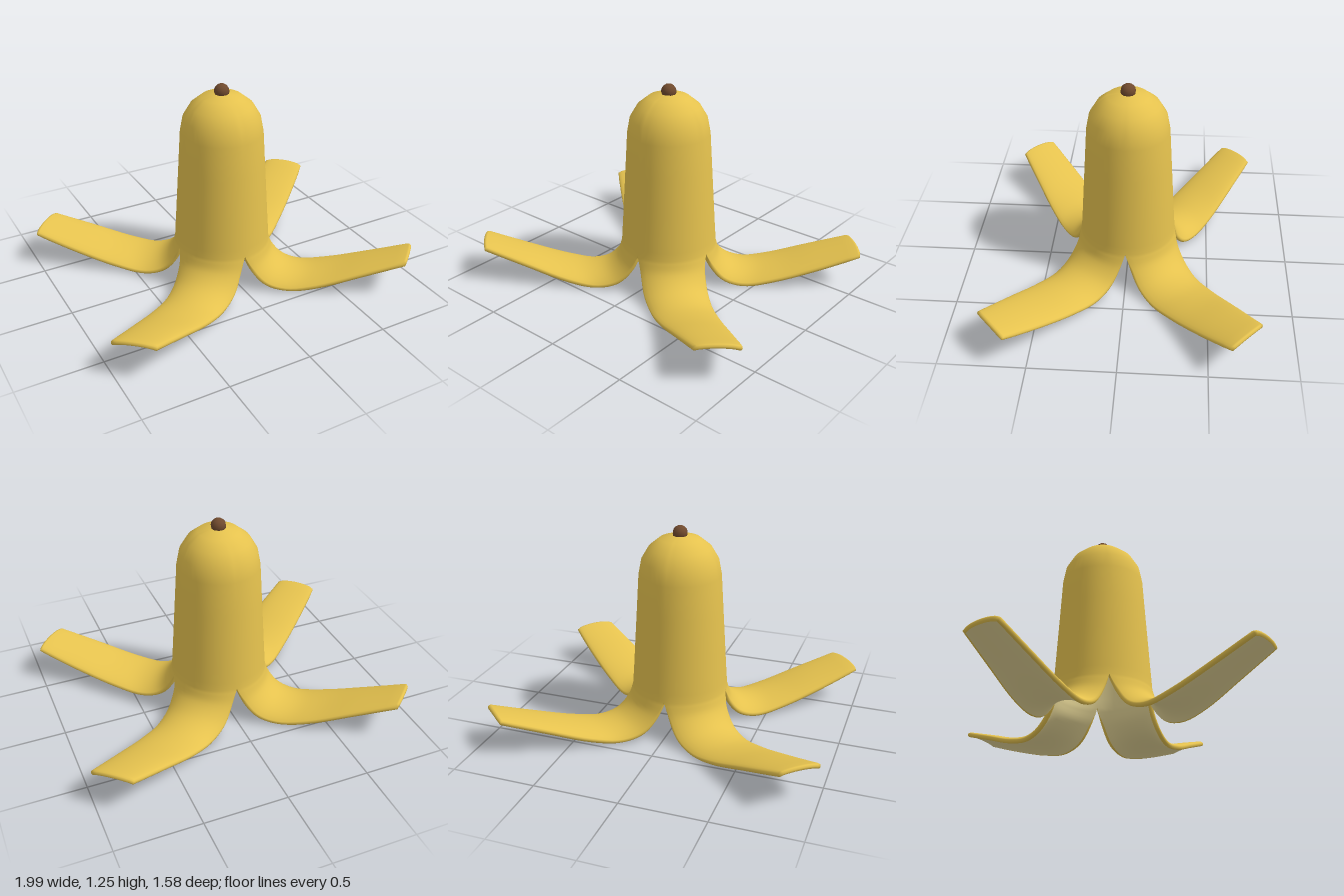
import * as THREE from 'three';
import { mergeGeometries, mergeVertices } from 'three/addons/utils/BufferGeometryUtils.js';

const COLS = 12, ROWS = 28, WALL = .03, RIM_STEPS = 4;
const curve = (pts) => new THREE.CatmullRomCurve3(pts.map((p) => new THREE.Vector3(...p)));

// Three rails of one peel strip: the edge by the z axis, the ridge, the edge by the x axis
const edgeZ = curve([[0, .24, .29], [.035, .14, .315], [.1, .05, .365], [.2, .014, .428], [.35, .045, .522], [.58, .135, .655], [.82, .23, .79]]);
const ridge = curve([[.205, .24, .205], [.225, .165, .222], [.285, .1, .268], [.38, .074, .338], [.51, .095, .425], [.7, .165, .56], [.915, .245, .71]]);
const edgeX = curve([[.29, .24, 0], [.318, .14, .032], [.375, .05, .08], [.46, .014, .15], [.6, .045, .27], [.8, .125, .44], [1, .22, .62]]);

// Body outline as radius and height, from the crown down to the split
const outline = [[.005, 1.186], [.035, 1.185], [.12, 1.166], [.185, 1.113], [.228, 1.04], [.245, .95], [.258, .74], [.272, .52], [.282, .36], [.287, .29]];

// Arched cross-section through two edges and a ridge point, pulled in a little to leave room for the rim
function arch(a, m, b, half, inset = 0) {
  const bulge = m.clone().sub(a.clone().add(b).multiplyScalar(.5));
  const row = [];
  for (let j = 0; j <= COLS; j++) {
    const t = (2 * j / COLS - 1) * half * (1 - inset);
    const s = (1 + Math.sin(t) / Math.sin(half)) / 2;
    const h = (Math.cos(t) - Math.cos(half)) / (1 - Math.cos(half));
    row.push(a.clone().lerp(b, s).addScaledVector(bulge, h));
  }
  return row;
}

const rimRamp = (t) => THREE.MathUtils.smoothstep(t, 0, .2);

// One quarter of the peel: quarter of the body running into one strip
function quarterRows() {
  const rows = outline.map(([r, y]) => arch(
    new THREE.Vector3(0, y, r),
    new THREE.Vector3(r * Math.SQRT1_2, y, r * Math.SQRT1_2),
    new THREE.Vector3(r, y, 0), Math.PI / 4));
  for (let i = 0; i <= ROWS; i++) {
    const t = i / ROWS, u = t * .985;
    rows.push(arch(edgeZ.getPoint(u), ridge.getPoint(u), edgeX.getPoint(u), Math.PI / 4 + t * .5, .09 * rimRamp(t)));
  }
  return rows;
}

// Outward directions over the grid; on the body's seams they stay in the mirror planes
function gridNormals(rows) {
  const last = rows.length - 1;
  return rows.map((row, i) => row.map((p, j) => {
    const down = rows[Math.min(i + 1, last)][j].clone().sub(rows[Math.max(i - 1, 0)][j]);
    const across = row[Math.min(j + 1, COLS)].clone().sub(row[Math.max(j - 1, 0)]);
    const n = down.cross(across);
    if (i <= outline.length && j === 0) n.x = 0;
    if (i <= outline.length && j === COLS) n.z = 0;
    return n.normalize();
  }));
}

// Rounded lip around the free border of a strip, from outer skin to inner skin
function rimRows(rows, normals) {
  const last = rows.length - 1, border = [];
  for (let i = outline.length; i <= last; i++) border.push([i, 0]);
  for (let j = 1; j < COLS; j++) border.push([last, j]);
  for (let i = last; i >= outline.length; i--) border.push([i, COLS]);
  return border.map(([i, j]) => {
    const p = rows[i][j], n = normals[i][j], out = new THREE.Vector3();
    if (j === 0) out.add(p.clone().sub(rows[i][1]).normalize());
    if (j === COLS) out.add(p.clone().sub(rows[i][COLS - 1]).normalize());
    if (i === last) out.add(p.clone().sub(rows[i - 1][j]).normalize());
    out.normalize().multiplyScalar(WALL / 2 * rimRamp((i - outline.length) / ROWS));
    const strip = [];
    for (let k = 0; k <= RIM_STEPS; k++) {
      const a = Math.PI * k / RIM_STEPS;
      strip.push(p.clone().addScaledVector(n, WALL / 2 * (Math.cos(a) - 1)).addScaledVector(out, Math.sin(a)));
    }
    return strip;
  });
}

// Mirrored grid of points as triangles
function gridGeometry(rows, sx, sz, reverse) {
  const pos = [], index = [], w = rows[0].length;
  const flip = (sx * sz < 0) !== reverse;
  rows.forEach((row) => row.forEach((p) => pos.push(p.x * sx, p.y, p.z * sz)));
  for (let i = 0; i < rows.length - 1; i++) {
    for (let j = 0; j < w - 1; j++) {
      const a = i * w + j, b = a + w, c = b + 1, d = a + 1;
      if (flip) index.push(a, d, b, b, d, c);
      else index.push(a, b, d, b, c, d);
    }
  }
  const g = new THREE.BufferGeometry();
  g.setAttribute('position', new THREE.Float32BufferAttribute(pos, 3));
  g.setIndex(index);
  return g;
}

// Grids repeated in all four quarters and welded into one smooth skin
function weld(grids) {
  const parts = [];
  for (const sx of [1, -1]) for (const sz of [1, -1]) {
    for (const [rows, reverse] of grids) parts.push(gridGeometry(rows, sx, sz, reverse));
  }
  const g = mergeVertices(mergeGeometries(parts), 1e-4);
  g.computeVertexNormals();
  return g;
}

export function createModel() {
  const material = (name, color) => {
    const m = new THREE.MeshStandardMaterial({ color });
    m.name = name;
    return m;
  };
  const yellow = material('peel yellow', 0xe5c24e);
  const cream = material('inner cream', 0xe8d898);
  const brown = material('stem brown', 0x704a2e);

  const group = new THREE.Group();
  group.name = 'bananaPeel';
  const add = (name, geometry, mat) => {
    const mesh = new THREE.Mesh(geometry, mat);
    mesh.name = name;
    group.add(mesh);
    return mesh;
  };

  const outer = quarterRows();
  const normals = gridNormals(outer);
  const inner = outer.map((row, i) => row.map((p, j) => p.clone().addScaledVector(normals[i][j], -WALL)));

  add('outerSkin', weld([[outer, false], [rimRows(outer, normals), true]]), yellow);
  add('innerSkin', weld([[inner, true]]), cream);

  // Rounded stub on the crown
  add('stemStub', new THREE.SphereGeometry(.045, 10, 8), brown).position.y = 1.198;
  return group;
}
